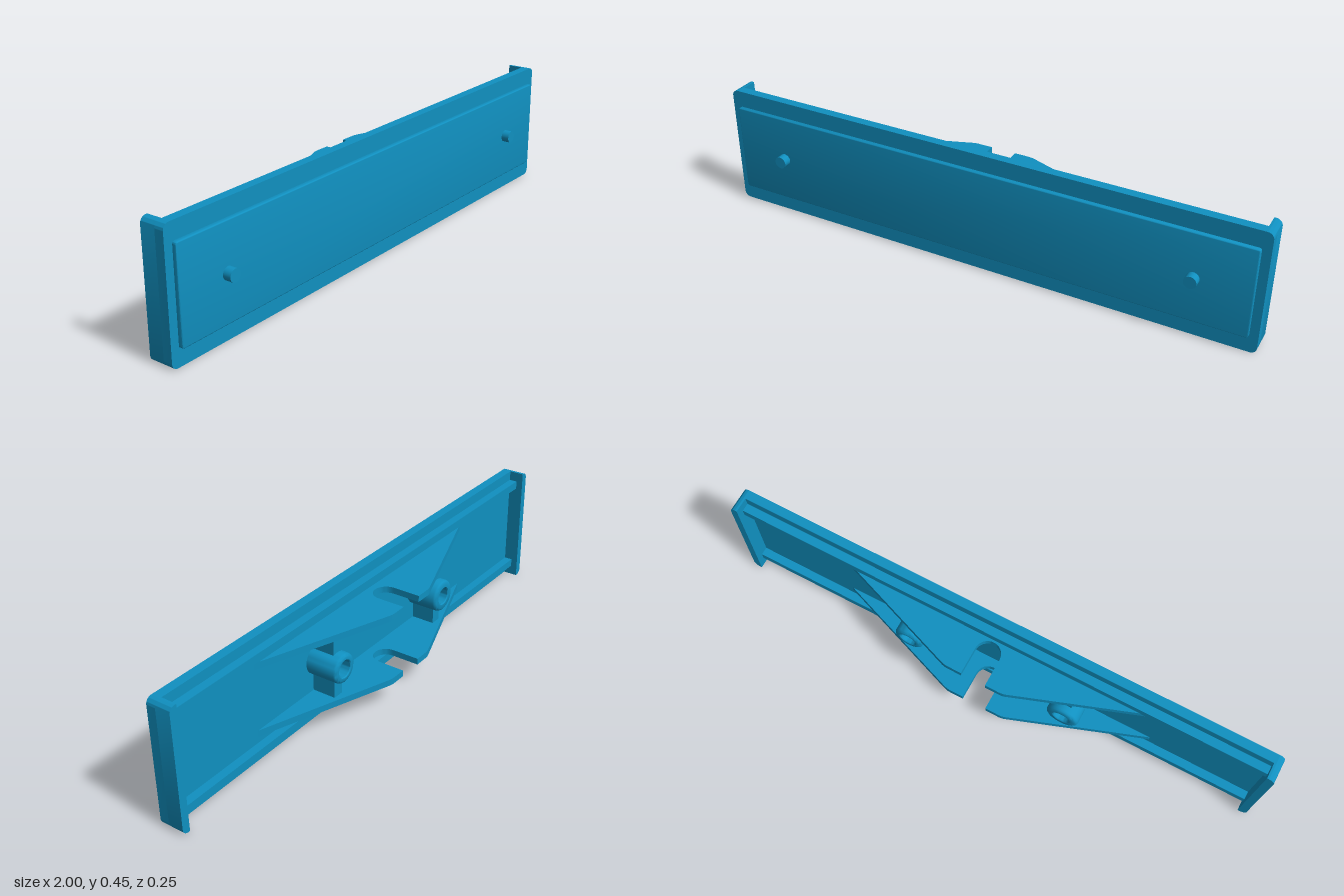
import * as THREE from 'three';
import { toCreasedNormals } from 'three/addons/utils/BufferGeometryUtils.js';

const MID = 0.225; // half height of the plate
const FLOOR = 0.05; // z of the recessed back face

export function createModel() {
  const group = new THREE.Group();
  const material = new THREE.MeshStandardMaterial({ color: 0x1090c0 });

  const add = (name, geometry, x = 0, y = 0, z = 0) => {
    const mesh = new THREE.Mesh(geometry, material);
    mesh.name = name;
    mesh.position.set(x, y, z);
    group.add(mesh);
    return mesh;
  };
  const extrude = (shape, depth, bevel = 0) => toCreasedNormals(new THREE.ExtrudeGeometry(shape, {
    depth: depth - bevel, bevelEnabled: bevel > 0, bevelSize: bevel, bevelThickness: bevel,
    bevelOffset: -bevel, bevelSegments: 3, curveSegments: 8,
  }), 0.6);
  const roundedRect = (w, h, r) => {
    const s = new THREE.Shape(), a = w / 2, b = h / 2;
    s.absarc(a - r, b - r, r, 0, Math.PI / 2);
    s.absarc(-a + r, b - r, r, Math.PI / 2, Math.PI);
    s.absarc(-a + r, -b + r, r, Math.PI, Math.PI * 1.5);
    s.absarc(a - r, -b + r, r, Math.PI * 1.5, Math.PI * 2);
    return s;
  };

  // Main plate and raised front panel
  add('plate', extrude(roundedRect(2, 0.446, 0.022), 0.083 - FLOOR), 0, MID, FLOOR);
  add('frontPanel', extrude(roundedRect(1.94, 0.326, 0.008), 0.018, 0.004), 0, MID, 0.08);

  // End walls, rounded at their outer corners
  for (const side of [-1, 1]) {
    const wall = new THREE.Shape(), r = 0.022, h = 0.223;
    wall.moveTo(-0.028, -h);
    wall.lineTo(-r, -h);
    wall.absarc(-r, -h + r, r, -Math.PI / 2, 0);
    wall.absarc(-r, h - r, r, 0, Math.PI / 2);
    wall.lineTo(-0.028, h);
    const mesh = add(side > 0 ? 'leftEndWall' : 'rightEndWall', extrude(wall, FLOOR + 0.005), side, MID, -0.005);
    if (side < 0) {
      mesh.rotation.y = Math.PI;
      mesh.position.z = FLOOR;
    }
  }

  // Long rails on the back, set in from the edges
  for (const side of [-1, 1]) {
    add(side > 0 ? 'upperRail' : 'lowerRail', new THREE.BoxGeometry(1.944, 0.03, 0.034), 0, MID + side * 0.172, 0.037);
  }

  // Sloping fins with a round-bottomed slot (profile height points to the back)
  const fin = new THREE.Shape();
  fin.moveTo(-0.593, -FLOOR);
  fin.lineTo(0.593, -FLOOR);
  fin.lineTo(0.125, 0.12);
  fin.quadraticCurveTo(0.11, 0.126, 0.095, 0.126);
  fin.lineTo(0.045, 0.126);
  fin.lineTo(0.045, 0.025);
  fin.absarc(0, 0.025, 0.045, 0, -Math.PI, true);
  fin.lineTo(-0.045, 0.126);
  fin.lineTo(-0.095, 0.126);
  fin.quadraticCurveTo(-0.11, 0.126, -0.125, 0.12);
  const finGeometry = extrude(fin, 0.023).rotateX(-Math.PI / 2);
  add('lowerFin', finGeometry, 0, 0.09, 0);
  add('upperFin', finGeometry, 0, 0.337, 0);

  // Hollow bosses, each held by a cross rib between the fins
  for (const [name, x, r] of [['left', 0.29, 0.053], ['right', -0.302, 0.058]]) {
    const hole = 0.03;
    const profile = [
      [r, -FLOOR], [r, 0.056], [r - 0.003, 0.062], [r - 0.009, 0.066],
      [hole + 0.003, 0.066], [hole, 0.063], [hole, -FLOOR + 0.002], [0, -FLOOR + 0.002],
    ].map(([a, b]) => new THREE.Vector2(a, b));
    const boss = toCreasedNormals(new THREE.LatheGeometry(profile, 32), 0.6).rotateX(-Math.PI / 2);
    add(name + 'Boss', boss, x, MID, 0);
    // Rib halves stop at the boss wall so the bore stays open
    const inner = r - 0.012, length = 0.114 - inner;
    for (const side of [-1, 1]) {
      add(name + (side > 0 ? 'UpperRib' : 'LowerRib'), new THREE.BoxGeometry(0.04, length, FLOOR + 0.036),
        x, MID + side * (inner + length / 2), (FLOOR - 0.036) / 2);
    }
  }

  // Locating pins on the front
  for (const side of [-1, 1]) {
    const pin = new THREE.CylinderGeometry(0.022, 0.022, 0.035, 24).rotateX(Math.PI / 2);
    add(side > 0 ? 'leftPin' : 'rightPin', pin, side * 0.777, MID, 0.1095);
  }

  return group;
}
